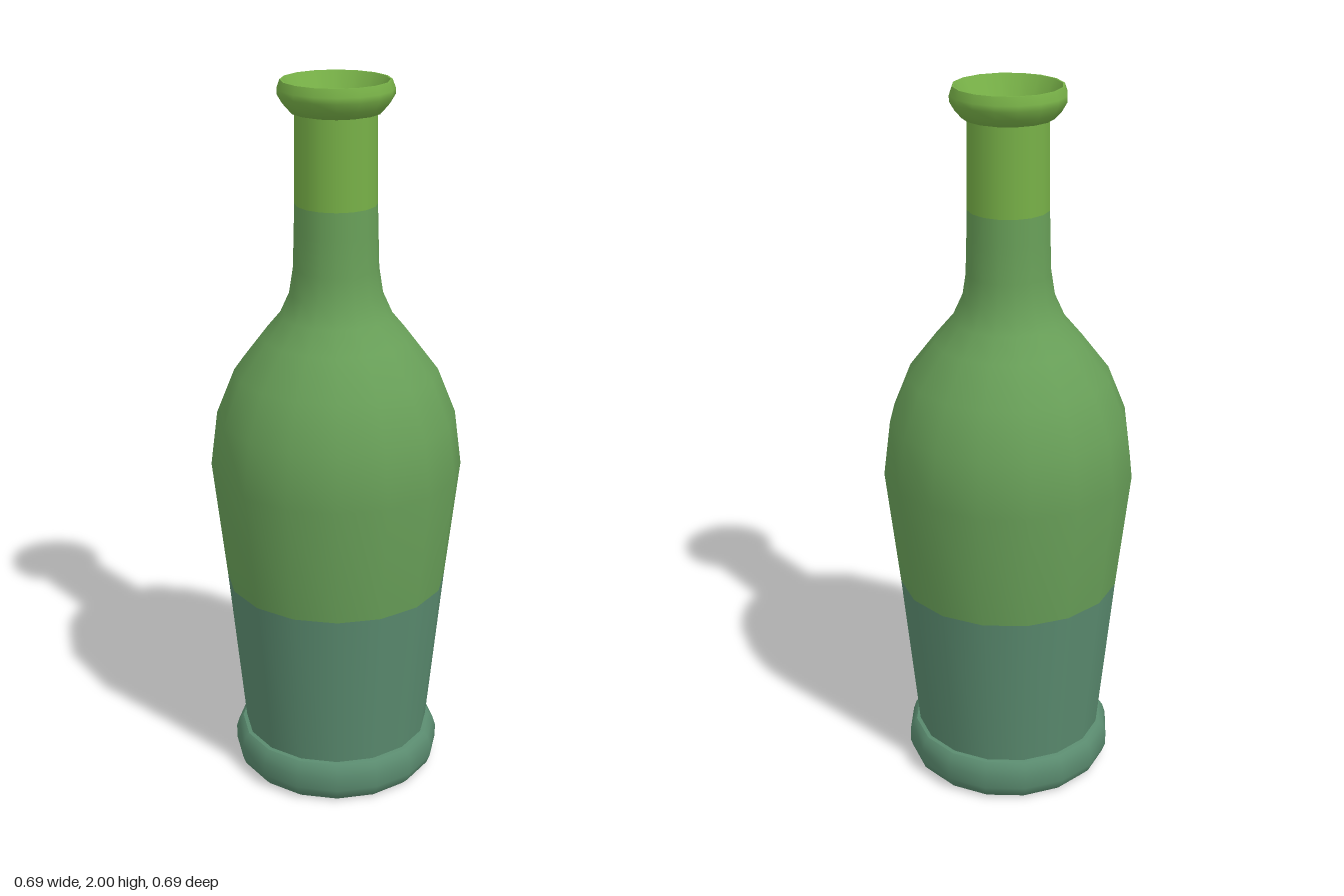
import * as THREE from 'three';

const SIDES = 16;

export function createModel() {
  const bottle = new THREE.Group();
  bottle.name = 'bottle';

  const material = (name, color) => {
    const m = new THREE.MeshStandardMaterial({ color });
    m.name = name;
    return m;
  };
  const teal = material('teal glass', 0x5a8b6f);
  const green = material('green glass', 0x689f58);
  const lime = material('lime foil', 0x77b047);

  // Revolves a [radius, y] profile, with flat sides facing the axes
  const turn = (name, mat, profile) => {
    const points = profile.map(([r, y]) => new THREE.Vector2(r, y));
    const geometry = new THREE.LatheGeometry(points, SIDES, Math.PI / SIDES);
    const mesh = new THREE.Mesh(geometry, mat);
    mesh.name = name;
    bottle.add(mesh);
  };

  // Foot: flat underside, rounded ring and the ledge above it
  turn('underside', teal, [[0, 0], [0.273, 0]]);
  turn('footRing', teal, [
    [0.273, 0], [0.288, 0.016], [0.297, 0.04], [0.297, 0.078], [0.289, 0.104], [0.277, 0.116],
  ]);
  turn('footLedge', teal, [[0.277, 0.116], [0.266, 0.118]]);

  // Body: tapered lower half, rounded shoulder and neck
  turn('lowerBody', teal, [[0.266, 0.116], [0.312, 0.588]]);
  turn('upperBody', green, [
    [0.312, 0.588], [0.35, 0.93], [0.33, 1.085], [0.28, 1.21], [0.204, 1.31],
    [0.154, 1.37], [0.127, 1.43], [0.116, 1.5], [0.113, 1.6], [0.111, 1.675],
  ]);

  // Neck wrap
  turn('neckWrap', lime, [[0.111, 1.675], [0.109, 1.915]]);

  // Lip: rounded outside, flat rim, sloping mouth
  turn('lip', lime, [
    [0.105, 1.914], [0.122, 1.918], [0.14, 1.938], [0.154, 1.962], [0.154, 1.978], [0.146, 2],
  ]);
  turn('rim', lime, [[0.146, 2], [0.141, 2]]);
  turn('mouth', lime, [[0.141, 2], [0.102, 1.93]]);

  // Inside of the neck and its floor
  turn('neckInside', lime, [[0.102, 1.93], [0.102, 1.675]]);
  turn('neckFloor', green, [[0.102, 1.675], [0, 1.675]]);

  return bottle;
}
